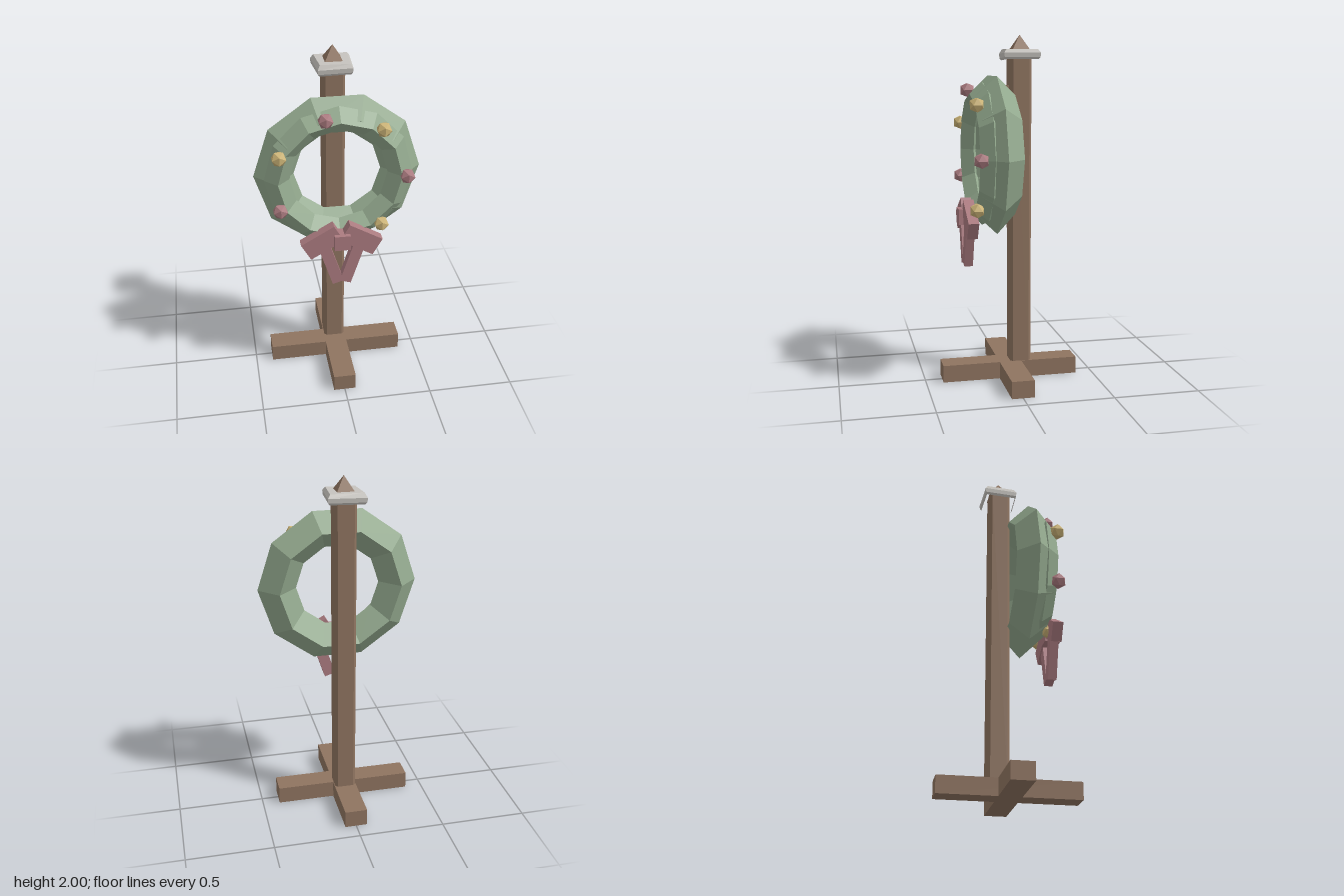
import * as THREE from 'three';

const mat = (name, color) => {
  const m = new THREE.MeshStandardMaterial({ color, flatShading: true });
  m.name = name;
  return m;
};

export function createModel() {
  const wood = mat('wood', 0x8f7460);
  const green = mat('foliage green', 0x94aa8f);
  const rose = mat('dusty rose', 0xab7b80);
  const gold = mat('gold', 0xcbb376);
  const snow = mat('snow', 0xc6c3be);

  const model = new THREE.Group();
  model.name = 'wreathPost';
  const add = (name, geometry, material, x = 0, y = 0, z = 0, rotZ = 0, parent = model) => {
    const mesh = new THREE.Mesh(geometry, material);
    mesh.name = name;
    mesh.position.set(x, y, z);
    mesh.rotation.z = rotZ;
    parent.add(mesh);
    return mesh;
  };
  const box = (w, h, d) => new THREE.BoxGeometry(w, h, d);

  // Crossed feet
  add('sideFoot', box(0.8, 0.1, 0.13), wood, 0, 0.05, 0);
  add('frontFoot', box(0.13, 0.1, 0.8), wood, 0, 0.05, 0);

  // Post with chamfered corners and a pyramid tip
  const poleZ = -0.0625, h = 0.0615, c = 0.047;
  const outline = [[h, -c], [h, c], [c, h], [-c, h], [-h, c], [-h, -c], [-c, -h], [c, -h]];
  const poleShape = new THREE.Shape(outline.map(([x, y]) => new THREE.Vector2(x, y)));
  const poleGeo = new THREE.ExtrudeGeometry(poleShape, { depth: 1.8, bevelEnabled: false });
  poleGeo.rotateX(-Math.PI / 2);
  add('post', poleGeo, wood, 0, 0.1, poleZ);
  const tipGeo = new THREE.ConeGeometry(0.06 * Math.SQRT2, 0.1, 4);
  tipGeo.rotateY(Math.PI / 4);
  add('postTip', tipGeo, wood, 0, 1.95, -0.065);

  // Snow cap: slightly uneven rings, open underneath
  const corners = [[-0.094, 0.094], [0.096, 0.102], [0.108, -0.104], [-0.109, -0.1]];
  const rings = [[1.86, 0.9], [1.872, 0.98], [1.897, 1], [1.92, 0.86]];
  const pos = [], idx = [];
  rings.forEach(([y, s], r) => corners.forEach(([x, z], i) => {
    pos.push(x * s, y + (r < 3 ? x * 0.03 : 0), z * s - 0.06);
    if (r === 0) return;
    const a = (r - 1) * 4 + i, b = (r - 1) * 4 + (i + 1) % 4;
    idx.push(a, b, b + 4, a, b + 4, a + 4);
  }));
  idx.push(12, 13, 14, 12, 14, 15);
  let capGeo = new THREE.BufferGeometry();
  capGeo.setAttribute('position', new THREE.Float32BufferAttribute(pos, 3));
  capGeo.setIndex(idx);
  capGeo = capGeo.toNonIndexed();
  capGeo.computeVertexNormals();
  add('snowCap', capGeo, snow);

  // Wreath: two interlocking diamond-section rings on a peg
  const wreathY = 1.329;
  add('peg', box(0.04, 0.04, 0.1), wood, 0, 1.7, 0.04);
  add('wreathRing', new THREE.TorusGeometry(0.354, 0.111, 4, 10), green, 0, wreathY, 0.095);
  add('wreathFrontRing', new THREE.TorusGeometry(0.342, 0.07, 4, 12), green, 0, wreathY, 0.155);

  // Baubles at even sevenths around the wreath
  const baubleGeo = new THREE.IcosahedronGeometry(0.045, 0);
  [rose, gold, rose, gold, rose, gold, gold].forEach((m, k) => {
    const a = k * Math.PI * 2 / 7;
    add('bauble' + (k + 1), baubleGeo, m,
      0.37 * Math.cos(a), wreathY + 0.37 * Math.sin(a), 0.224);
  });

  // Bow with drooping loops and converging tails
  const bow = new THREE.Group();
  bow.name = 'bow';
  model.add(bow);
  add('bowKnot', box(0.09, 0.09, 0.09), rose, 0, 0.973, 0.253, 0, bow);
  for (const [side, s] of [['left', 1], ['right', -1]]) {
    add(side + 'BowLoop', box(0.215, 0.112, 0.06), rose, s * 0.11, 0.971, 0.243, -s * Math.PI / 6, bow);
    add(side + 'BowTail', box(0.066, 0.25, 0.05), rose, s * 0.059, 0.815, 0.245, -s * 0.314, bow);
  }

  return model;
}
